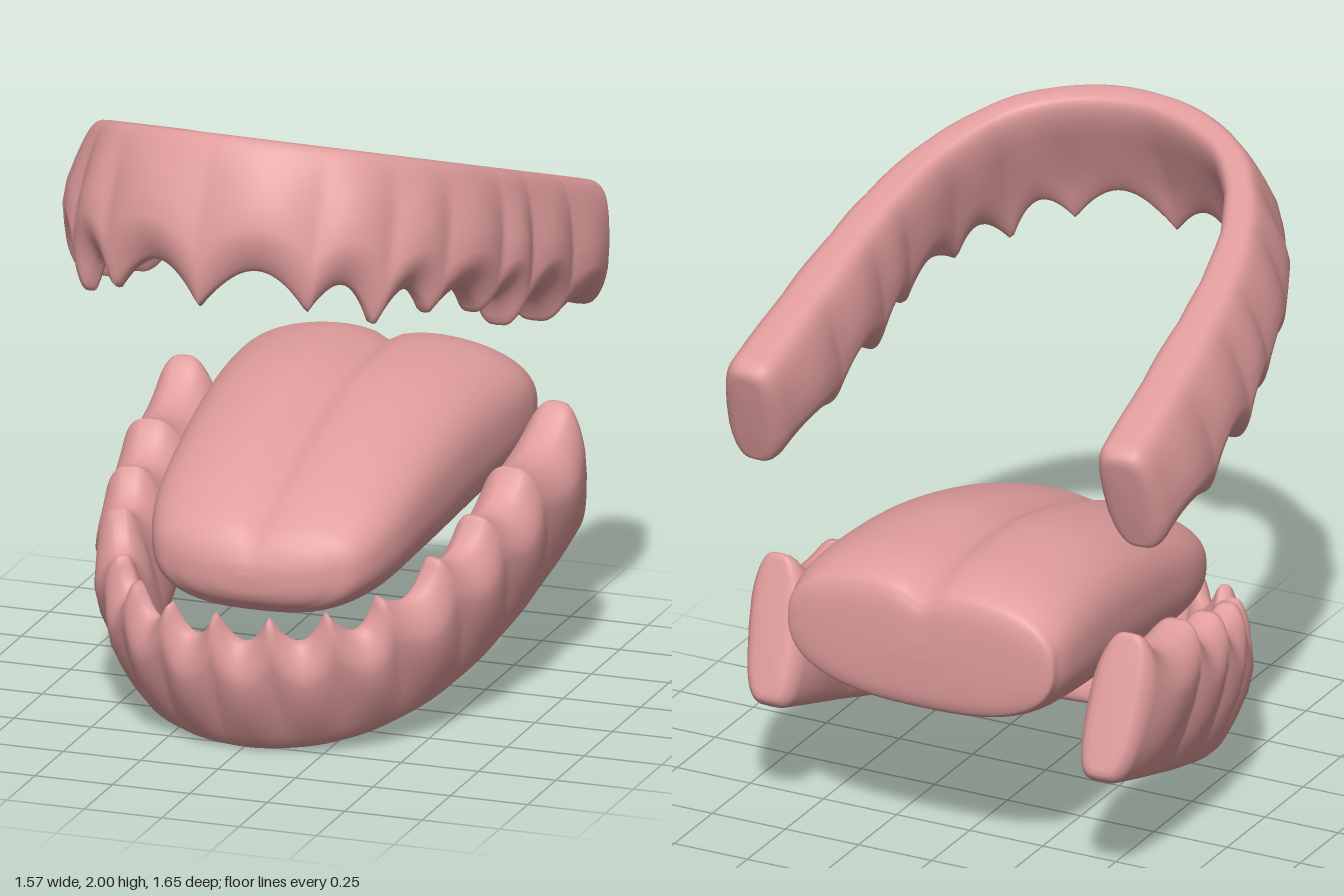
import * as THREE from 'three';

const material = new THREE.MeshStandardMaterial({ color: 0xe09c9c, side: THREE.DoubleSide });
const signedPow = (v, e) => Math.sign(v) * Math.pow(Math.abs(v), e);

// Closed skin over rings of points, with a fan at both ends
function skin(name, rings) {
  const n = rings[0].length, last = rings.length - 1, pos = [], index = [];
  rings.forEach(ring => ring.forEach(p => pos.push(p.x, p.y, p.z)));
  for (let i = 0; i < last; i++) {
    for (let j = 0; j < n; j++) {
      const k = (j + 1) % n, a = i * n, b = a + n;
      index.push(a + j, b + j, b + k, a + j, b + k, a + k);
    }
  }
  for (const end of [0, last]) {
    const c = new THREE.Vector3();
    rings[end].forEach(p => c.addScaledVector(p, 1 / n));
    const id = pos.length / 3;
    pos.push(c.x, c.y, c.z);
    for (let j = 0; j < n; j++) {
      const a = end * n + j, b = end * n + (j + 1) % n;
      if (end) index.push(a, id, b); else index.push(a, b, id);
    }
  }
  // Turn the faces outward
  const v = i => new THREE.Vector3().fromArray(pos, i * 3);
  let volume = 0;
  for (let i = 0; i < index.length; i += 3) {
    volume += v(index[i]).dot(v(index[i + 1]).cross(v(index[i + 2])));
  }
  if (volume < 0) index.reverse();
  const g = new THREE.BufferGeometry();
  g.setAttribute('position', new THREE.Float32BufferAttribute(pos, 3));
  g.setIndex(index);
  g.computeVertexNormals();
  const mesh = new THREE.Mesh(g, material);
  mesh.name = name;
  return mesh;
}

// Horseshoe gum: half a base line [x, z], and tips [arc fraction, height, depth of next socket]
function gum(name, o) {
  // The right arm reaches slightly further back than the left
  const at = ([x, z], s) =>
    new THREE.Vector3(s * x, o.frontY + o.slope * (z - o.frontZ), z + 0.025 * s * x);
  const half = o.path.map(p => at(p, 1));
  const mirrored = o.path.slice(0, -1).reverse().map(p => at(p, -1));
  const curve = new THREE.CatmullRomCurve3([...half, ...mirrored], false, 'centripetal');
  curve.arcLengthDivisions = 600;
  const up = new THREE.Vector3(0, o.dir * Math.cos(o.lean), Math.sin(o.lean));
  const rows = 300, sides = 40, round = 0.06, rings = [];
  const length = curve.getLength();

  for (let i = 0; i <= rows; i++) {
    // Rows crowd together at the rounded ends
    const q = i / rows * 2 - 1;
    const u = q * 1.25 - 0.25 * q * q * q;
    const t = (u + 1) / 2;
    const p = curve.getPointAt(t), tan = curve.getTangentAt(t);
    const out = new THREE.Vector3().crossVectors(tan, new THREE.Vector3(0, 1, 0));
    out.y = o.slope * out.z;
    out.normalize();
    if (out.x * p.x + out.z * (p.z + 0.3) < 0) out.negate();

    // Tooth tips with arched sockets between them
    const m = Math.min(1, Math.abs(u - o.shift * (1 - Math.abs(u))));
    let k = 0;
    while (k < o.tips.length - 2 && m > o.tips[k + 1][0]) k++;
    const [m0, h0, depth] = o.tips[k], [m1, h1] = o.tips[k + 1];
    const f = THREE.MathUtils.clamp((m - m0) / (m1 - m0), 0, 1);
    const arch = Math.pow(Math.sin(Math.PI * f), 0.9);
    const H = h0 + (h1 - h0) * f - depth * arch;

    const back = THREE.MathUtils.smoothstep(Math.abs(u), 0.1, 0.85);
    const hw = 0.06 + (o.backHalf - 0.06) * back;
    const d = Math.min(1, (1 - Math.abs(u)) * length / 2 / round);
    const inset = 0.045 * (1 - Math.sqrt(Math.max(0, 1 - (1 - d) ** 2)));
    // The swelling fades towards the ends of the arms
    const molar = back * (1 - 0.6 * THREE.MathUtils.smoothstep(Math.abs(u), 0.85, 1));
    const ring = [];
    for (let j = 0; j < sides; j++) {
      const a = j / sides * Math.PI * 2;
      const h = H / 2 + (H / 2 - inset) * signedPow(Math.sin(a), 0.55);
      const e = h / H;
      const taper = 1 - (0.5 - 0.35 * back) * e ** 4;
      const c = signedPow(Math.cos(a), 0.55);
      // Swelling near the teeth, on the outer side in front and on both sides of the arms
      const swell = Math.sin(Math.PI * e ** 1.6);
      let r = (hw - inset) * c * taper;
      r += swell * (0.028 * (1 - back) + 0.036 * molar * c + 0.022 * (arch - 0.5) * c);
      r += o.flare * h * Math.abs(out.x);
      ring.push(p.clone().addScaledVector(out, r).addScaledVector(up, h));
    }
    rings.push(ring);
  }
  return skin(name, rings);
}

// Tongue: stations along z with half width, top and bottom
function tongue() {
  const z = [0.538, 0.53, 0.5, 0.44, 0.27, 0, -0.3, -0.6, -0.76, -0.81, -0.822];
  const spline = ys => new THREE.SplineCurve(z.map((v, i) => new THREE.Vector2(v, ys[i])));
  const width = spline([0.03, 0.14, 0.25, 0.335, 0.395, 0.425, 0.45, 0.47, 0.46, 0.41, 0.1]);
  const top = spline([0.56, 0.605, 0.665, 0.725, 0.82, 0.92, 0.985, 0.988, 0.95, 0.89, 0.76]);
  const bottom = spline([0.54, 0.49, 0.45, 0.42, 0.405, 0.415, 0.44, 0.48, 0.515, 0.56, 0.7]);
  const rings = [], rows = 120, sides = 96;
  for (let i = 0; i <= rows; i++) {
    const t = i / rows, w = width.getPoint(t), hi = top.getPoint(t).y, lo = bottom.getPoint(t).y;
    const mid = lo + (hi - lo) * 0.53;
    // Groove down the middle, fading at both ends
    const groove = 0.05 * Math.min(1, t * 2, (1 - t) * 8);
    const ring = [];
    for (let j = 0; j < sides; j++) {
      const a = j / sides * Math.PI * 2, s = Math.sin(a);
      const x = w.y * signedPow(Math.cos(a), 0.75);
      let y = mid + (s > 0 ? hi - mid : mid - lo) * signedPow(s, s > 0 ? 0.75 : 0.85);
      if (s > 0) y -= groove * s * Math.exp(-Math.abs(x) / 0.06);
      ring.push(new THREE.Vector3(x + 0.015, y, w.x));
    }
    rings.push(ring);
  }
  return skin('tongue', rings);
}

export function createModel() {
  const group = new THREE.Group();
  group.name = 'mouth';
  group.add(
    gum('upperGum', {
      path: [[0.645, -0.765], [0.62, -0.3], [0.585, 0.05], [0.52, 0.28], [0.38, 0.495], [0.2, 0.6], [0, 0.635]],
      frontY: 2, frontZ: 0.65, slope: 0.355, lean: 0.32, dir: -1,
      backHalf: 0.093, flare: 0.06, shift: 0.018,
      tips: [[0, 0.53, 0.12], [0.18, 0.51, 0.11], [0.29, 0.53, 0.1], [0.4, 0.47, 0.08], [0.54, 0.45, 0.08],
        [0.64, 0.48, 0.1], [0.8, 0.45, 0.05], [1, 0.395, 0]],
    }),
    gum('lowerGum', {
      path: [[0.575, -0.765], [0.55, -0.3], [0.505, 0], [0.425, 0.22], [0.295, 0.385], [0.15, 0.465], [0, 0.49]],
      frontY: 0, frontZ: 0.52, slope: -0.305, lean: 0.33, dir: 1,
      backHalf: 0.09, flare: 0.07, shift: 0.025,
      tips: [[0, 0.485, 0.1], [0.105, 0.485, 0.1], [0.21, 0.48, 0.1], [0.315, 0.47, 0.08], [0.455, 0.485, 0.07],
        [0.6, 0.485, 0.07], [0.76, 0.485, 0.08], [1, 0.5, 0]],
    }),
    tongue(),
  );
  return group;
}
